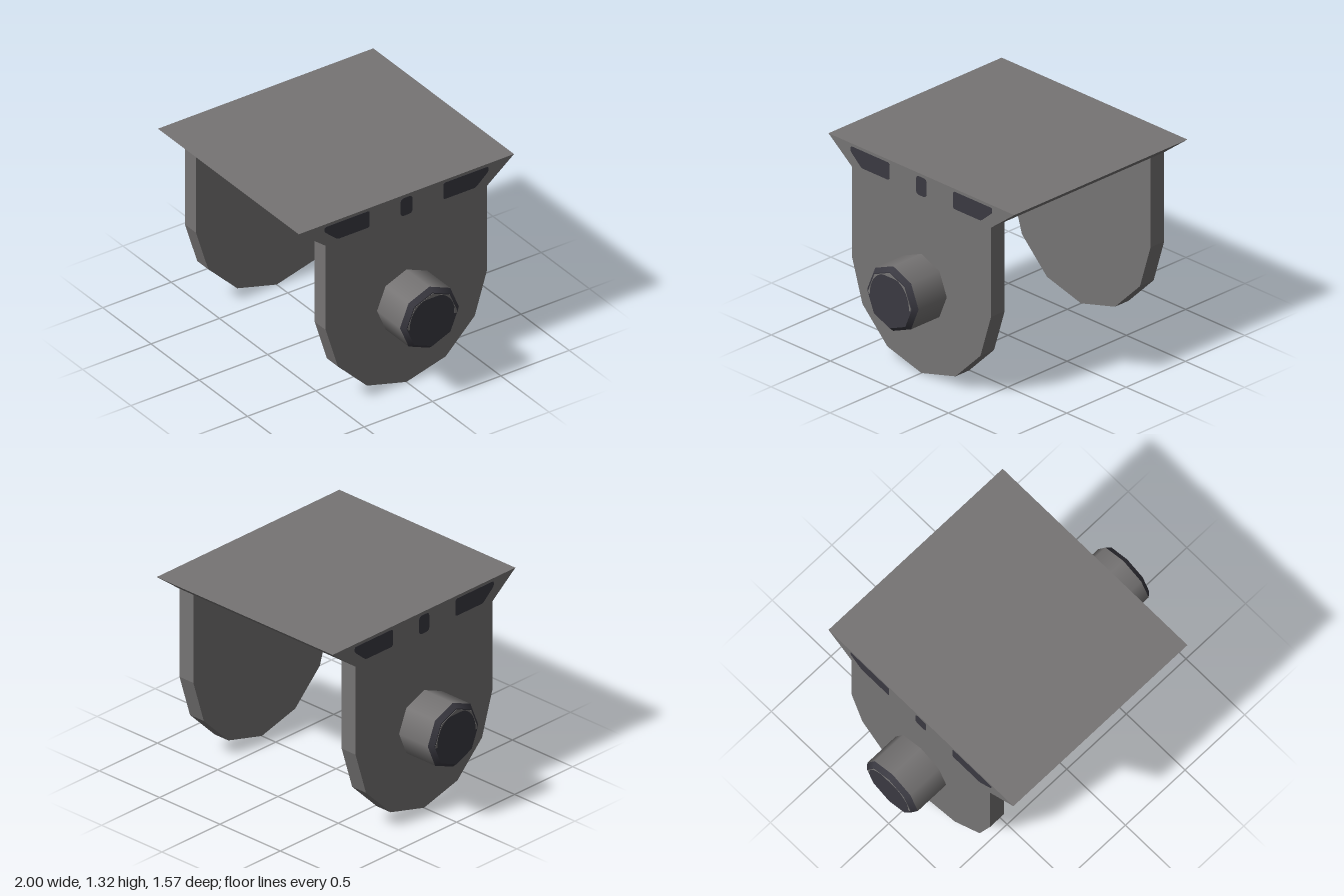
import * as THREE from 'three';

const steel = new THREE.MeshStandardMaterial({ color: 0x767474 });
steel.name = 'grey steel';
const dark = new THREE.MeshStandardMaterial({ color: 0x3a3941 });
dark.name = 'dark paint';

// Side profile (horizontal, y) extruded along +x, starting at x
function profile(name, points, x, depth, material) {
  const shape = Array.isArray(points)
    ? new THREE.Shape(points.map(([a, b]) => new THREE.Vector2(a, b)))
    : points;
  const geo = new THREE.ExtrudeGeometry(shape, { depth, bevelEnabled: false, curveSegments: 6 });
  geo.rotateY(Math.PI / 2).translate(x, 0, 0);
  const mesh = new THREE.Mesh(geo, material);
  mesh.name = name;
  return mesh;
}

// Closed outline whose corners are rounded by distance r
function rounded(points, r) {
  const v = points.map(([a, b]) => new THREE.Vector2(a, b));
  const shape = new THREE.Shape();
  v.forEach((p, i) => {
    const toward = (q) => p.clone().add(q.clone().sub(p).setLength(r));
    const a = toward(v[(i + v.length - 1) % v.length]);
    const b = toward(v[(i + 1) % v.length]);
    if (i === 0) shape.moveTo(a.x, a.y);
    else shape.lineTo(a.x, a.y);
    shape.quadraticCurveTo(p.x, p.y, b.x, b.y);
  });
  shape.closePath();
  return shape;
}

// Solid of rotation along x at pin height
function pinPart(name, rEnd, rStart, x0, x1, open, material) {
  const geo = new THREE.CylinderGeometry(rEnd, rStart, x1 - x0, 8, 1, open);
  geo.rotateZ(-Math.PI / 2).translate((x0 + x1) / 2, 0.577, 0);
  const mesh = new THREE.Mesh(geo, material);
  mesh.name = name;
  return mesh;
}

// One cheek plate with its pin and painted marks, on the +x side
function makeSide(name) {
  const side = new THREE.Group();
  side.name = name;

  side.add(profile('cheekPlate', [
    [-0.59, 1.17], [-0.59, 0.577], [-0.5, 0.287], [-0.288, 0.077], [0, 0],
    [0.288, 0.077], [0.5, 0.287], [0.59, 0.577], [0.59, 1.17],
  ], 0.615, 0.115, steel));

  // Octagonal pin with a dark chamfered end
  side.add(pinPart('pin', 0.215, 0.215, 0.72, 0.968, true, steel));
  side.add(pinPart('pinCap', 0.188, 0.215, 0.968, 0.998, false, dark));

  // Worn bare rim on the upper half of the cap
  const rim = [];
  for (const deg of [-5, 0, 45, 90, 135, 180, 185]) {
    const a = THREE.MathUtils.degToRad(deg);
    const r = Math.abs(deg - 90) > 90 ? 0.178 : 0.181;
    rim.push([Math.cos(a) * r, 0.577 + Math.sin(a) * r]);
  }
  for (let deg = 185; deg >= -5; deg -= 10) {
    const a = THREE.MathUtils.degToRad(deg);
    rim.push([Math.cos(a) * 0.165, 0.577 + Math.min(0.153, Math.sin(a) * 0.165)]);
  }
  side.add(profile('wornRim', rim, 0.997, 0.003, steel));

  // Dark marks along the edge of the top plate
  for (const s of [-1, 1]) {
    side.add(profile('edgeMark', rounded([
      [0.27 * s, 1.303], [0.27 * s, 1.188], [0.505 * s, 1.188], [0.6 * s, 1.27], [0.6 * s, 1.303],
    ], 0.016), 0.729, 0.003, dark));
  }
  side.add(profile('centreMark', rounded([
    [-0.044, 1.302], [-0.044, 1.178], [0.044, 1.178], [0.044, 1.302],
  ], 0.028), 0.729, 0.003, dark));
  return side;
}

export function createModel() {
  const model = new THREE.Group();
  model.name = 'bracket';

  // Top plate with slanted front and back edges
  model.add(profile('topPlate', [
    [-0.59, 1.17], [0.59, 1.17], [0.787, 1.322], [-0.787, 1.322],
  ], -0.73, 1.46, steel));

  const left = makeSide('leftSide');
  const right = makeSide('rightSide');
  right.rotation.y = Math.PI;
  model.add(left, right);
  return model;
}
